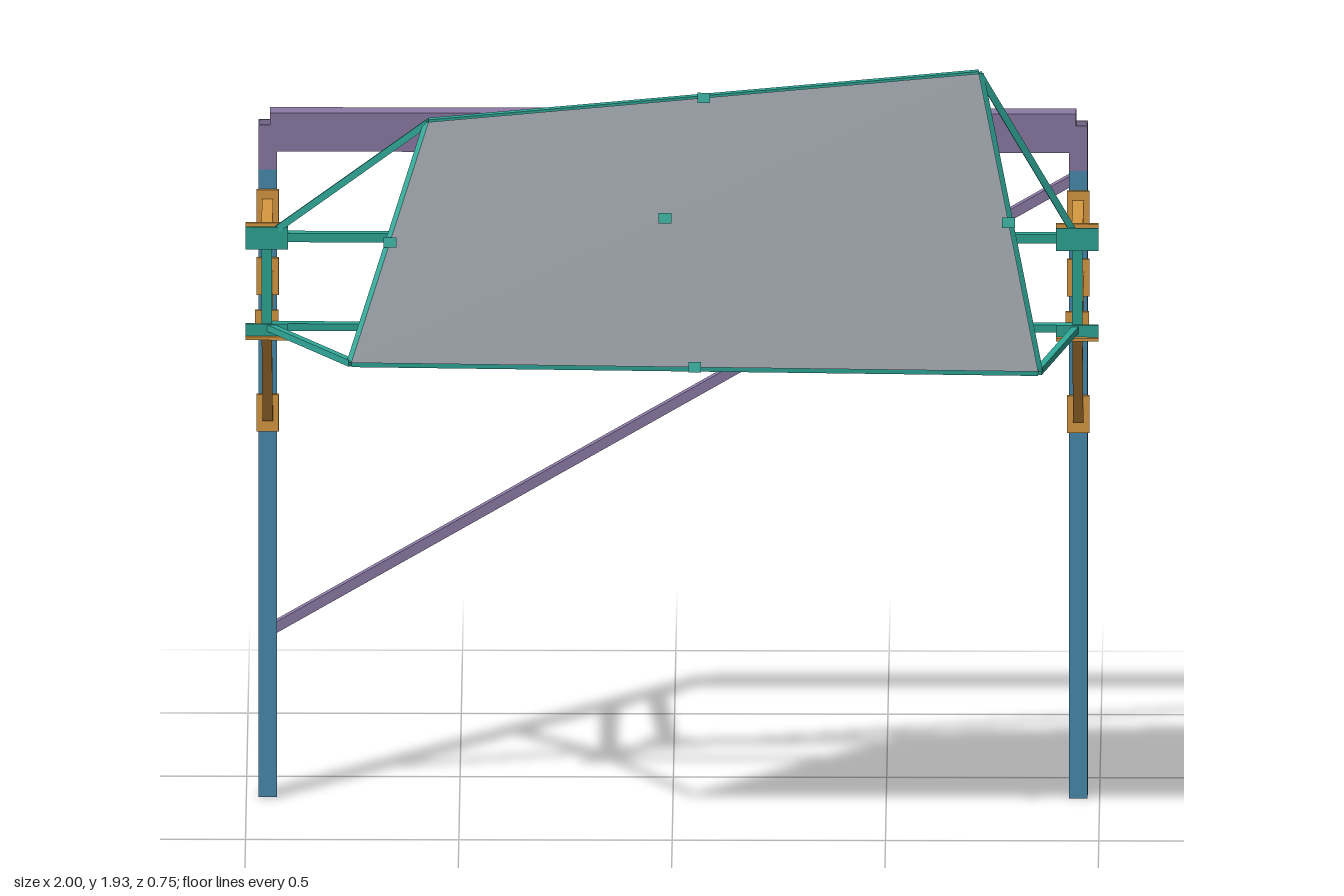
import * as THREE from 'three';

const paint = (color) => new THREE.MeshStandardMaterial({ color, side: THREE.DoubleSide });
const blue = paint(0x4a8db0), purple = paint(0x8d7ba6), orange = paint(0xdc9c42);
const teal = paint(0x2fa898), grey = paint(0x9aa0a8);
const V = (x, y, z) => new THREE.Vector3(x, y, z);

export function createModel() {
  const root = new THREE.Group();

  const box = (name, mat, w, h, d, x, y, z) => {
    const mesh = new THREE.Mesh(new THREE.BoxGeometry(w, h, d), mat);
    mesh.name = name;
    mesh.position.set(x, y, z);
    root.add(mesh);
    return mesh;
  };

  // Square bar between two points, kept upright where possible
  const bar = (name, mat, a, b, w, h = w) => {
    const mesh = box(name, mat, w, h, a.distanceTo(b), 0, 0, 0);
    mesh.position.copy(a).add(b).multiplyScalar(0.5);
    if (Math.abs(b.y - a.y) > 0.999 * a.distanceTo(b)) mesh.rotation.x = Math.PI / 2;
    else mesh.lookAt(b);
    return mesh;
  };

  // Hollow square post section
  const square = (s, Type) => new Type([
    new THREE.Vector2(-s, -s), new THREE.Vector2(s, -s),
    new THREE.Vector2(s, s), new THREE.Vector2(-s, s),
  ]);
  const section = square(0.022, THREE.Shape);
  section.holes.push(square(0.018, THREE.Path));
  const tube = (name, mat, x, y0, y1) => {
    const geo = new THREE.ExtrudeGeometry(section, { depth: y1 - y0, bevelEnabled: false });
    const mesh = new THREE.Mesh(geo.rotateX(-Math.PI / 2), mat);
    mesh.name = name;
    mesh.position.set(x, y0, -0.357);
    root.add(mesh);
  };

  const railZ = 0.065, highY = 1.5, lowY = 1.28;
  for (const [side, s] of [['left', 1], ['right', -1]]) {
    const x = 0.95 * s;
    tube(side + 'Post', blue, x, 0, 1.54);
    tube(side + 'PostHead', purple, x, 1.54, 1.65);

    // Bracket arms reaching forward from the post
    bar(side + 'UpperArm', orange, V(x, 1.455, -0.33), V(x, 1.5, 0.045), 0.026, 0.03);
    bar(side + 'MiddleArm', orange, V(x, lowY, -0.33), V(x, lowY, 0.045), 0.026, 0.03);
    bar(side + 'LowerArm', orange, V(x, 0.937, -0.33), V(x, 1.268, 0.04), 0.024, 0.026);

    // Mounting plates on the post
    for (const [y, h] of [[1.45, 0.085], [1.28, 0.09], [0.945, 0.09]])
      box(side + 'PostPlate', orange, 0.052, h, 0.008, x, y, -0.331);

    // Plates at the rail ends
    box(side + 'UpperBackPlate', orange, 0.1, 0.06, 0.008, x, highY, 0.05);
    box(side + 'UpperFrontPlate', teal, 0.1, 0.055, 0.006, x, highY, 0.078);
    box(side + 'LowerBackPlate', orange, 0.055, 0.07, 0.008, x, lowY, 0.05);
    box(side + 'LowerFrontPlate', teal, 0.1, 0.03, 0.006, x, lowY - 0.005, 0.078);
    box(side + 'LowerShelfPlate', orange, 0.1, 0.008, 0.05, x, 1.257, railZ);
    bar(side + 'RailUpright', teal, V(x, lowY, railZ), V(x, highY, railZ), 0.024, 0.02);
  }

  // Rear beam and diagonal brace
  box('topBeam', purple, 1.89, 0.095, 0.045, 0, 1.632, -0.357);
  bar('diagonalBrace', purple, V(-0.935, 0.41, -0.357), V(0.935, 1.513, -0.357), 0.022, 0.024);

  // Front rails
  bar('upperRail', teal, V(-0.95, highY, railZ), V(0.95, highY, railZ), 0.02, 0.022);
  bar('lowerRail', teal, V(-0.95, lowY, railZ), V(0.95, lowY, railZ), 0.02, 0.018);

  // Tilted frame: top right, top left, bottom left, bottom right
  const corners = [
    V(-0.57, 1.815, 0.174), V(0.72, 1.92, 0.122),
    V(0.86, 1.255, 0.335), V(-0.75, 1.28, 0.355),
  ];
  const anchors = [
    V(-0.95, highY, railZ), V(0.95, highY, railZ),
    V(0.95, lowY, railZ), V(-0.95, lowY, railZ),
  ];
  const normal = V(0, 0.3, 0.954);
  const clip = (p) => {
    const c = box('panelClip', teal, 0.03, 0.024, 0.022, 0, 0, 0);
    c.position.copy(p).addScaledVector(normal, 0.006);
    c.rotation.x = -0.305;
  };
  corners.forEach((c, i) => {
    const next = corners[(i + 1) % 4];
    bar('frameEdge', teal, c, next, 0.016);
    bar('frameStrut', teal, c, anchors[i], 0.016);
    clip(c.clone().lerp(next, 0.5));
  });
  bar('frameDiagonal', teal, corners[3], corners[1], 0.014);
  clip(corners[3].clone().lerp(corners[1], 0.5));

  // Panel sheet, folded along the frame diagonal
  const points = corners.map((c) => c.clone().addScaledVector(normal, 0.013));
  const sheet = new THREE.BufferGeometry().setFromPoints(
    [3, 1, 0, 3, 2, 1].map((i) => points[i]));
  sheet.computeVertexNormals();
  const panel = new THREE.Mesh(sheet, grey);
  panel.name = 'panel';
  root.add(panel);

  return root;
}
